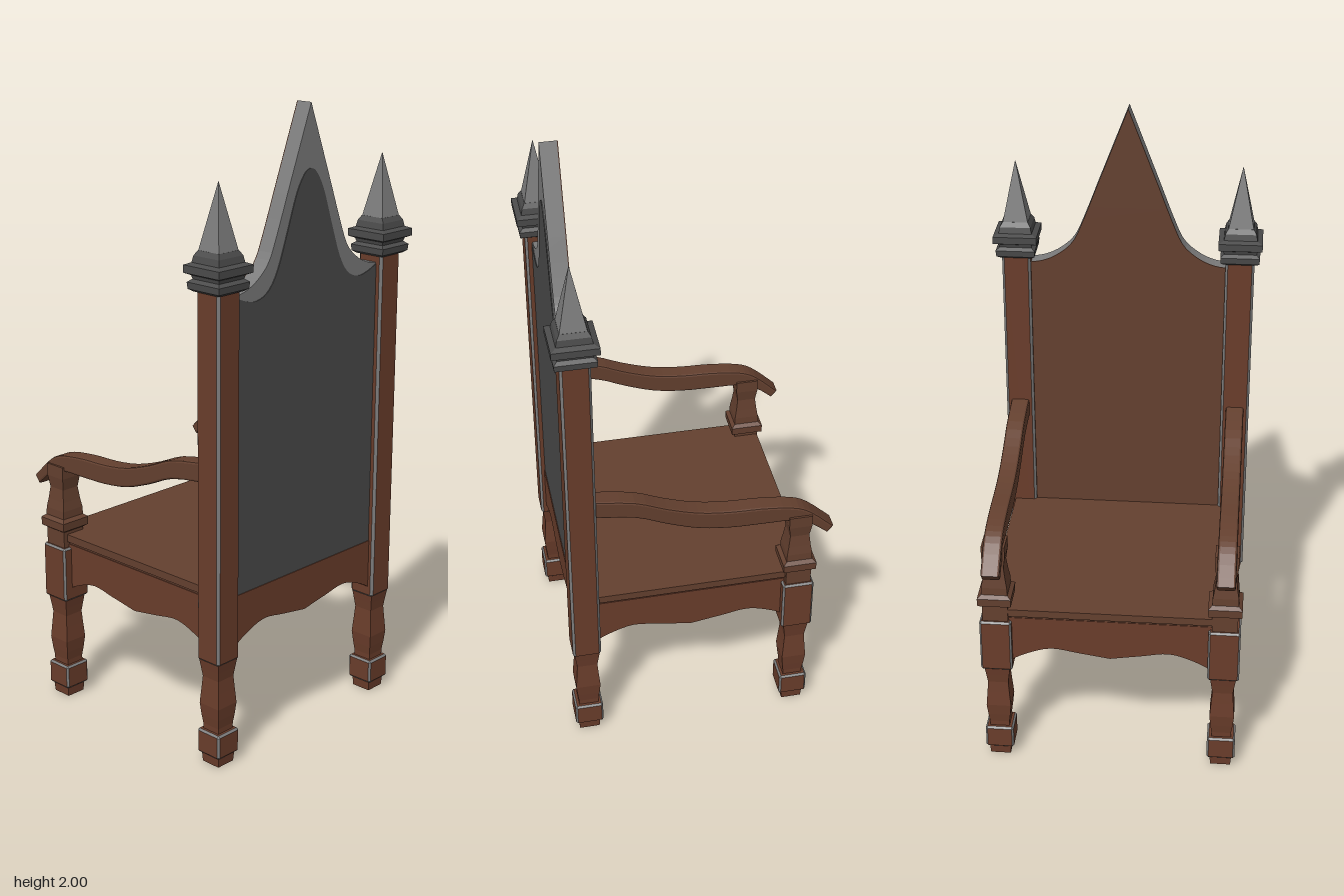
import * as THREE from 'three';
import { ConvexGeometry } from 'three/addons/geometries/ConvexGeometry.js';

const material = (name, color) => {
  const m = new THREE.MeshStandardMaterial({ color });
  m.name = name;
  return m;
};

export function createModel() {
  const chair = new THREE.Group();
  chair.name = 'highBackChair';
  const wood = material('brown wood', 0x64402f);
  const redWood = material('reddish wood', 0x6a3d2b);
  const darkMetal = material('dark grey', 0x4b4b4b);
  const paleMetal = material('pale grey', 0x7c7c7c);

  const add = (name, geometry, mat, x = 0, y = 0, z = 0) => {
    const mesh = new THREE.Mesh(geometry, mat);
    mesh.name = name;
    mesh.position.set(x, y, z);
    chair.add(mesh);
    return mesh;
  };
  const box = (name, mat, w, h, d, x, y, z) =>
    add(name, new THREE.BoxGeometry(w, h, d), mat, x, y, z);

  // Square-section turning from [y, half width] pairs, bottom to top
  const squareTurned = (profile) => {
    const pts = profile.map(([y, h]) => new THREE.Vector2(h * Math.SQRT2, y));
    pts.unshift(new THREE.Vector2(0, profile[0][0]));
    pts.push(new THREE.Vector2(0, profile[profile.length - 1][0]));
    const g = new THREE.LatheGeometry(pts, 4, Math.PI / 4).toNonIndexed();
    g.computeVertexNormals();
    return g;
  };

  // Chamfered block: flat faces in wood, chamfers in metal
  const trimmedBlock = (w, h, d, c) => {
    const pts = [];
    for (const sx of [-1, 1]) for (const sy of [-1, 1]) for (const sz of [-1, 1]) {
      const [x, y, z] = [w / 2, h / 2, d / 2];
      pts.push(new THREE.Vector3(sx * x, sy * (y - c), sz * (z - c)));
      pts.push(new THREE.Vector3(sx * (x - c), sy * y, sz * (z - c)));
      pts.push(new THREE.Vector3(sx * (x - c), sy * (y - c), sz * z));
    }
    const g = new ConvexGeometry(pts);
    const n = g.attributes.normal;
    for (let i = 0; i < n.count; i += 3) {
      const largest = Math.max(Math.abs(n.getX(i)), Math.abs(n.getY(i)), Math.abs(n.getZ(i)));
      g.addGroup(i, 3, largest > 0.98 ? 0 : 1);
    }
    return g;
  };

  // Smooth line through points
  const smooth = (pts, n = 24) =>
    new THREE.SplineCurve(pts.map(([x, y]) => new THREE.Vector2(x, y))).getPoints(n);
  // Right-hand half line, from outside to the centre, continued by its mirror
  const mirrored = (half) =>
    [...half, ...half.slice(0, -1).reverse().map((p) => new THREE.Vector2(-p.x, p.y))];
  const extrude = (pts, depth, bevel = 0) =>
    new THREE.ExtrudeGeometry(new THREE.Shape(pts), {
      depth: depth - 2 * bevel, bevelEnabled: bevel > 0, bevelSize: bevel,
      bevelThickness: bevel, bevelOffset: -bevel, bevelSegments: 2,
    }).translate(0, 0, bevel);

  const X = 0.365, BACK = 0.368, FRONT = -0.328;

  const legProfile = [[0.1, 0.032], [0.13, 0.032], [0.16, 0.036], [0.2, 0.04],
    [0.25, 0.036], [0.29, 0.033], [0.32, 0.037], [0.355, 0.042]];
  const capProfile = [[1.495, 0.05], [1.503, 0.062], [1.523, 0.064], [1.532, 0.052],
    [1.543, 0.055], [1.55, 0.071], [1.573, 0.071], [1.58, 0.054], [1.6, 0.05], [1.615, 0.041]];
  const armPostProfile = [[0.53, 0.041], [0.59, 0.041], [0.598, 0.053], [0.625, 0.054],
    [0.635, 0.042], [0.66, 0.041], [0.69, 0.036], [0.73, 0.031], [0.77, 0.037], [0.81, 0.037]];

  // Arm outline in side elevation, as [-z, y]
  const armTop = smooth([[-0.33, 0.975], [-0.2, 0.953], [-0.1, 0.912], [0, 0.88], [0.1, 0.866],
    [0.2, 0.862], [0.3, 0.849], [0.36, 0.822], [0.438, 0.75]]);
  const armBottom = smooth([[0.418, 0.725], [0.36, 0.772], [0.3, 0.794], [0.2, 0.797],
    [0.1, 0.8], [0, 0.815], [-0.1, 0.85], [-0.2, 0.892], [-0.33, 0.912]]);

  for (const [side, s] of [['left', 1], ['right', -1]]) {
    // Legs and feet
    for (const [end, z] of [['Back', BACK], ['Front', FRONT]]) {
      add(side + end + 'Leg', squareTurned(legProfile), redWood, s * X, 0, z);
      add(side + end + 'FootBlock', trimmedBlock(0.092, 0.08, 0.092, 0.006),
        [redWood, paleMetal], s * X, 0.073, z);
      add(side + end + 'FootPad', squareTurned([[0, 0.033], [0.04, 0.036]]), redWood, s * X, 0, z);
    }
    // Back post with cap and spire
    add(side + 'BackPost', trimmedBlock(0.094, 1.16, 0.092, 0.008),
      [redWood, paleMetal], s * X, 0.925, BACK);
    add(side + 'PostCap', squareTurned(capProfile), darkMetal, s * X, 0, BACK);
    add(side + 'Spire', squareTurned([[1.612, 0.041], [1.81, 0.0005]]), paleMetal, s * X, 0, BACK);
    // Front block, arm post and arm
    add(side + 'FrontBlock', trimmedBlock(0.102, 0.185, 0.102, 0.006),
      [redWood, paleMetal], s * X, 0.443, FRONT);
    add(side + 'ArmPost', squareTurned(armPostProfile), wood, s * X, 0, FRONT);
    add(side + 'Arm', extrude([...armTop, ...armBottom], 0.06, 0.007)
      .translate(0, 0, -0.03).rotateY(Math.PI / 2), wood, s * X, 0, 0);
  }

  // Moulded seat
  box('seatLowerEdge', wood, 0.764, 0.025, 0.69, 0, 0.5445, -0.012);
  box('seatTop', wood, 0.784, 0.025, 0.7, 0, 0.5675, -0.017);

  // Scalloped aprons
  const apronShape = [new THREE.Vector2(-0.33, 0.545), new THREE.Vector2(0.33, 0.545),
    ...mirrored(smooth([[0.33, 0.375], [0.27, 0.408], [0.19, 0.432], [0.1, 0.419], [0, 0.403]], 16))];
  const apron = extrude(apronShape, 0.03).translate(0, 0, -0.015);
  add('backApron', apron, redWood, 0, 0, 0.381);
  add('frontApron', apron, redWood, 0, 0, -0.344);
  const sideApron = apron.clone().rotateY(Math.PI / 2);
  for (const s of [1, -1]) {
    add(s > 0 ? 'leftApron' : 'rightApron', sideApron, redWood, s * 0.37, 0, 0.02);
  }

  // Backrest: pale core with a pointed crest, wooden front and dark rear field
  const panel = (half) => [new THREE.Vector2(-0.325, 0.54), new THREE.Vector2(0.325, 0.54),
    ...mirrored(half)];
  const crest = panel([
    ...smooth([[0.325, 1.475], [0.28, 1.482], [0.23, 1.505], [0.18, 1.55], [0.145, 1.625], [0.1, 1.742]], 16),
    new THREE.Vector2(0, 2)]);
  const field = panel(smooth([[0.325, 1.475], [0.28, 1.455], [0.23, 1.447], [0.18, 1.468],
    [0.14, 1.525], [0.1, 1.63], [0.06, 1.74], [0.025, 1.796], [0, 1.808]], 28));
  add('backrestCore', extrude(crest, 0.052), paleMetal, 0, 0, 0.339);
  add('backrestFront', extrude(crest, 0.003), wood, 0, 0, 0.336);
  add('backrestRearField', extrude(field, 0.003), darkMetal, 0, 0, 0.3905);

  return chair;
}
